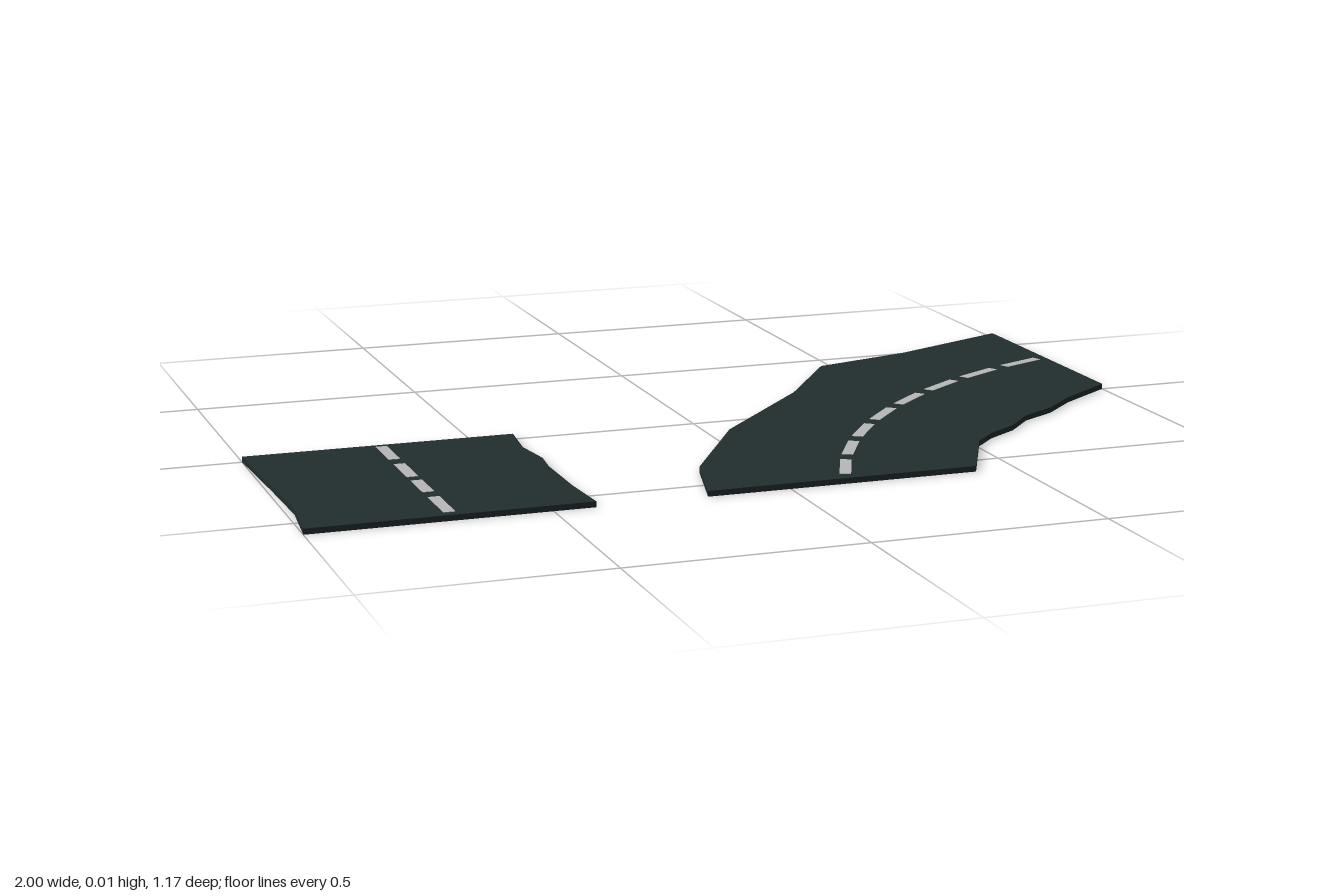
import * as THREE from 'three';

const THICK = 0.012;   // slab thickness
const PAINT = 0.001;   // paint thickness
const LINE = 0.024;    // paint line width

// Flat plate from an outline of [x, z] points, rising from height y
function plate(name, points, y, depth, material) {
  const shape = new THREE.Shape(points.map(([x, z]) => new THREE.Vector2(x, -z)));
  const geometry = new THREE.ExtrudeGeometry(shape, { depth, bevelEnabled: false });
  geometry.rotateX(-Math.PI / 2);
  const mesh = new THREE.Mesh(geometry, material);
  mesh.name = name;
  mesh.position.y = y;
  return mesh;
}

export function createModel() {
  const asphalt = new THREE.MeshStandardMaterial({ color: 0x222d2e });
  asphalt.name = 'asphalt';
  const paint = new THREE.MeshStandardMaterial({ color: 0xb8b8b8 });
  paint.name = 'linePaint';

  const model = new THREE.Group();
  model.name = 'roadPieces';

  // Straight piece with slightly ragged sides
  const straight = new THREE.Group();
  straight.name = 'straightRoad';
  straight.add(plate('straightSlab', [
    [-1, 0], [-0.412, 0], [-0.425, 0.12], [-0.412, 0.22], [-0.42, 0.29],
    [-0.42, 0.45], [-0.412, 0.585], [-1, 0.585], [-0.985, 0.44], [-0.99, 0.25],
  ], 0, THICK, asphalt));
  for (const [z0, z1] of [[0.016, 0.13], [0.17, 0.28], [0.31, 0.405], [0.445, 0.565]]) {
    const x0 = -0.706 - LINE / 2, x1 = -0.706 + LINE / 2;
    straight.add(plate('straightDash', [[x0, z0], [x1, z0], [x1, z1], [x0, z1]], THICK, PAINT, paint));
  }

  // Curved piece with a faceted outer side and a ragged inner side
  const curve = new THREE.Group();
  curve.name = 'curvedRoad';
  curve.add(plate('curvedSlab', [
    [-0.178, 0.585], [-0.13, 0.4], [0.04, 0.12], [0.3, -0.16], [0.46, -0.39],
    [0.7, -0.458], [1, -0.59], [1, 0], [0.865, 0.095], [0.785, 0.17],
    [0.7, 0.22], [0.635, 0.29], [0.56, 0.34], [0.505, 0.395], [0.41, 0.585],
  ], 0, THICK, asphalt));

  // Dashes along the arc of the centre line
  const cx = 1.495, cz = 1.075, radius = 1.46;
  const start = 0.365, end = 1.206, count = 8, fill = 0.73;
  const step = (end - start) / (count - 1 + fill);
  const onArc = (r, a) => [cx - r * Math.cos(a), cz - r * Math.sin(a)];
  for (let i = 0; i < count; i++) {
    const a0 = start + i * step, a1 = a0 + step * fill;
    const inner = radius - LINE / 2, outer = radius + LINE / 2;
    curve.add(plate('curvedDash', [
      onArc(inner, a0), onArc(outer, a0), onArc(outer, a1), onArc(inner, a1),
    ], THICK, PAINT, paint));
  }

  model.add(straight, curve);
  return model;
}
